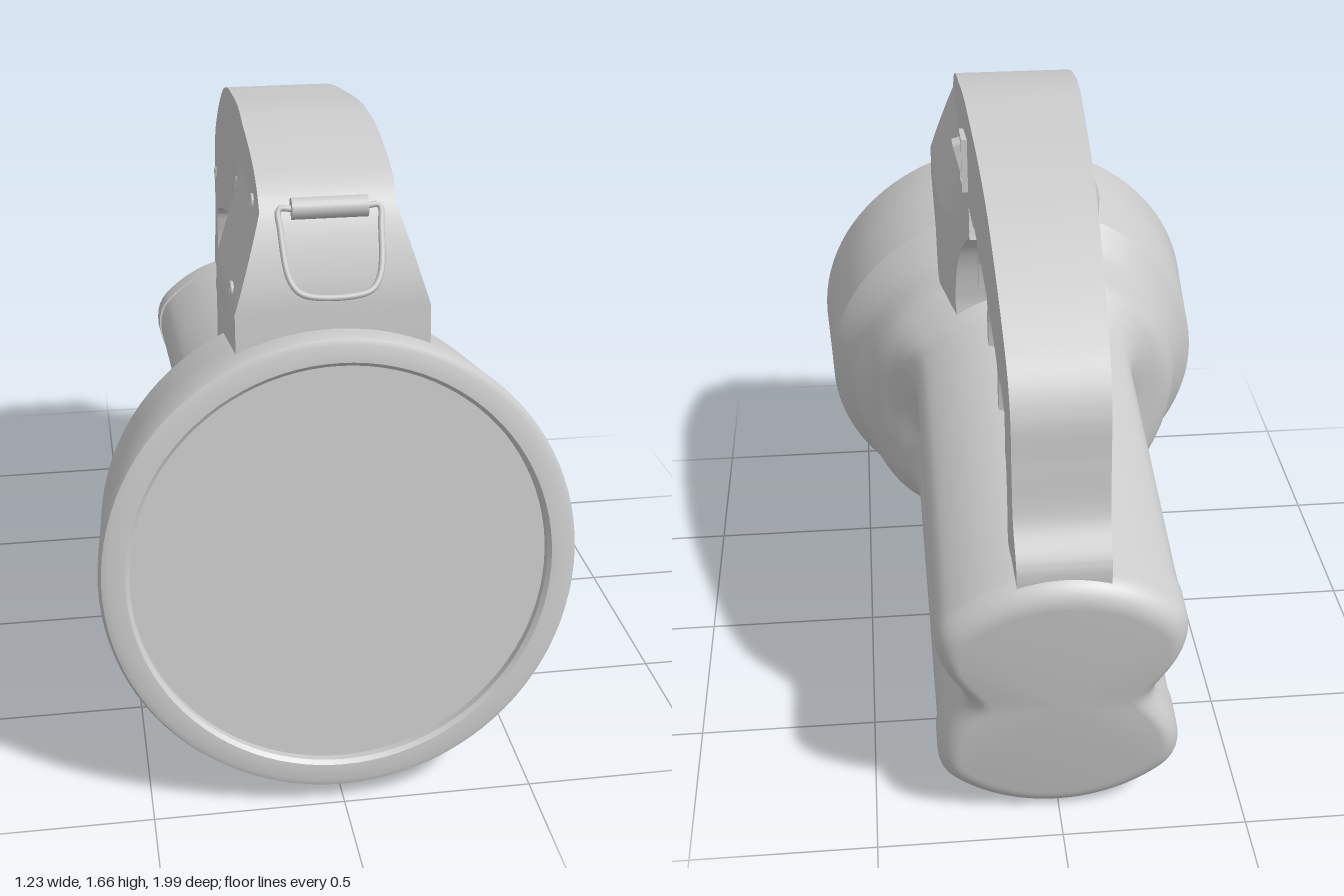
import * as THREE from 'three';
import { toCreasedNormals } from 'three/addons/utils/BufferGeometryUtils.js';

const { smoothstep, clamp } = THREE.MathUtils;
const material = new THREE.MeshStandardMaterial({ color: 0xcccccc });

function part(name, geometry, crease) {
  const mesh = new THREE.Mesh(crease ? toCreasedNormals(geometry, crease) : geometry, material);
  mesh.name = name;
  return mesh;
}

// Skin a list of closed rings (arrays of Vector3, front to back).
function loft(rings) {
  const n = rings[0].length, index = [];
  for (let i = 0; i < rings.length - 1; i++) {
    for (let k = 0; k < n; k++) {
      const a = i * n + k, c = i * n + (k + 1) % n;
      index.push(a, a + n, c, a + n, c + n, c);
    }
  }
  const geometry = new THREE.BufferGeometry().setFromPoints(rings.flat());
  geometry.setIndex(index);
  return geometry;
}

// Lathe about the z axis; profile points are [radius, z], back to front.
function latheZ(profile) {
  return new THREE.LatheGeometry(profile.map(p => new THREE.Vector2(...p)), 96).rotateX(Math.PI / 2);
}

// Body cross-section: a circle of radius r whose sides become hollow as waist goes to 1.
function bodyRing(z, r, waist, inset = 0) {
  return Array.from({ length: 120 }, (_, k) => {
    const a = k / 120 * Math.PI * 2;
    const side = Math.asin(Math.abs(Math.sin(a)));
    const hollow = side < Math.PI / 4 ? 0.165 * Math.cos(side * 2) ** 2 : 0;
    const d = Math.max(0, r - hollow * waist - inset);
    return new THREE.Vector3(Math.cos(a) * d, Math.sin(a) * d, z);
  });
}

function createBody() {
  const group = new THREE.Group();
  group.name = 'lampBody';

  group.add(part('headRing', latheZ([
    [0.45, -0.37], [0.59, -0.37], [0.601, -0.2], [0.613, -0.025], [0.605, -0.006],
    [0.59, 0], [0.545, 0], [0.535, -0.01], [0.535, -0.04],
  ]), 0.5));
  const lens = part('lens', new THREE.CircleGeometry(0.54, 96));
  lens.position.z = -0.032;
  group.add(lens);

  // Bulging neck that runs into the waisted barrel
  const neck = new THREE.SplineCurve([
    [-0.37, 0.59], [-0.455, 0.525], [-0.58, 0.505], [-0.64, 0.465], [-0.69, 0.432], [-0.78, 0.42],
  ].map(p => new THREE.Vector2(...p))).getPoints(40);
  neck.push(new THREE.Vector2(-1.25, 0.416), new THREE.Vector2(-1.74, 0.412));
  group.add(part('barrel', loft(neck.map(p => bodyRing(p.x, p.y, smoothstep(-p.x, 0.5, 0.8)))), 0.7));

  // Rounded end cap
  const cap = [[-1.73, 0.02], [-1.73, 0]];
  for (let i = 0; i <= 8; i++) {
    const a = i / 8 * Math.PI / 2;
    cap.push([-1.815 - 0.07 * Math.sin(a), 0.07 * (1 - Math.cos(a))]);
  }
  cap.push([-1.885, 1]);
  group.add(part('endCap', loft(cap.map(([z, inset]) => bodyRing(z, 0.418, 1, inset))), 0.6));

  group.position.set(0, 0.66, 0.92);
  group.rotation.x = -0.132;
  return group;
}

// Handle half-width: tapers to the rear and flares out over the lamp head.
function halfWidth(z, y) {
  const flare = smoothstep(z, 0.12, 0.32) * clamp((1.53 - y) / 0.23, 0, 1);
  return clamp(0.12 + (z + 0.96) * 0.04, 0.12, 0.172) + 0.073 * flare;
}

const GRIPS = [[0.09, -0.13], [-0.165, -0.355], [-0.395, -0.58], [-0.615, -0.735]];

function createHandle() {
  // Matching stations: outer z, y and inner z, y
  const stations = [
    [0.765, 1.12, 0.5, 0.9], [0.755, 1.25, 0.36, 0.88], [0.735, 1.37, 0.215, 0.88],
    [0.665, 1.53, 0.215, 1.03], [0.6, 1.59, 0.2, 1.15], [0.5, 1.63, 0.17, 1.22],
    [0.35, 1.66, 0.12, 1.265], [0.2, 1.67, 0.05, 1.275], [0, 1.65, -0.07, 1.26],
    [-0.2, 1.62, -0.25, 1.225], [-0.38, 1.57, -0.42, 1.18], [-0.55, 1.49, -0.58, 1.13],
    [-0.7, 1.4, -0.7, 1.09], [-0.8, 1.32, -0.75, 1.06], [-0.85, 1.23, -0.765, 1.01],
    [-0.867, 1.1, -0.775, 0.95], [-0.89, 0.96, -0.78, 0.88], [-0.955, 0.86, -0.785, 0.83],
    [-0.96, 0.78, -0.785, 0.77],
  ];
  const curve = k => new THREE.CatmullRomCurve3(stations.map(s => new THREE.Vector3(0, s[k + 1], s[k])));
  const outer = curve(0), inner = curve(2), N = 216, M = 20, rings = [];
  for (let i = 0; i <= N; i++) {
    const o = outer.getPoint(i / N), n = inner.getPoint(i / N), left = [], right = [];
    for (let k = 0; k <= M; k++) {
      const p = n.clone().lerp(o, k / M), w = halfWidth(p.z, p.y);
      // Finger grips: sloped scoops along the inner edge of the left side
      const d = p.distanceTo(n);
      const scoop = d < 0.1 && GRIPS.some(g => p.z < g[0] && p.z > g[1]) ? 0.015 + 0.04 * (1 - d / 0.1) : 0;
      left.push(new THREE.Vector3(w - scoop, p.y, p.z));
      right.unshift(new THREE.Vector3(-w, p.y, p.z));
    }
    rings.push([...left, ...right]);
  }
  return part('handle', loft(rings), 0.5);
}

// Rocker switch in a frame on the left of the handle
function createSwitch() {
  const group = new THREE.Group();
  group.name = 'rockerSwitch';
  const rectangle = (Type, w, h) => new Type([[-w, -h], [w, -h], [w, h], [-w, h]].map(p => new THREE.Vector2(...p)));
  const shape = rectangle(THREE.Shape, 0.052, 0.078);
  shape.holes.push(rectangle(THREE.Path, 0.037, 0.062));
  const frame = new THREE.ExtrudeGeometry(shape, { depth: 0.025, bevelEnabled: false });
  group.add(part('switchFrame', frame));
  const rocker = part('rocker', new THREE.BoxGeometry(0.07, 0.12, 0.03));
  rocker.position.z = 0.018;
  rocker.rotation.x = 0.25;
  group.add(rocker);
  group.position.set(0.155, 1.49, 0.163);
  group.rotation.set(0, Math.PI / 2, 0.06, 'YXZ');
  return group;
}

// Hinged wire loop on the front of the handle
function createLoop() {
  const group = new THREE.Group();
  group.name = 'carryLoop';
  group.add(part('hingeBar', new THREE.CylinderGeometry(0.027, 0.027, 0.19, 20).rotateZ(Math.PI / 2)));
  const corners = [[-0.09, 0], [-0.125, 0], [-0.125, -0.05], [-0.11, -0.18], [-0.08, -0.215]];
  const mirrored = corners.map(([x, y]) => [-x, y]).reverse();
  const path = new THREE.CatmullRomCurve3([...corners, ...mirrored].map(([x, y]) => new THREE.Vector3(x, y, 0)), true);
  group.add(part('wire', new THREE.TubeGeometry(path, 80, 0.008, 8, true)));
  group.position.set(0, 1.54, 0.672);
  group.rotation.x = -0.56;
  return group;
}

// Screw sockets on the right of the handle
function createScrews() {
  const group = new THREE.Group();
  group.name = 'screws';
  for (const [z, y] of [[0.55, 1.52], [0.63, 1.32], [0.28, 1.2], [0.12, 1.43], [-0.79, 1.18]]) {
    const ring = part('screwSocket', new THREE.TorusGeometry(0.019, 0.005, 8, 20));
    const head = part('screwHead', new THREE.CircleGeometry(0.018, 20));
    head.position.z = 0.002;
    const screw = new THREE.Group();
    screw.name = 'screw';
    screw.add(ring, head);
    screw.position.set(-halfWidth(z, y), y, z);
    screw.rotation.y = -Math.PI / 2;
    group.add(screw);
  }
  return group;
}

export function createModel() {
  const model = new THREE.Group();
  model.name = 'handLamp';
  model.add(createBody(), createHandle(), createSwitch(), createLoop(), createScrews());
  return model;
}
